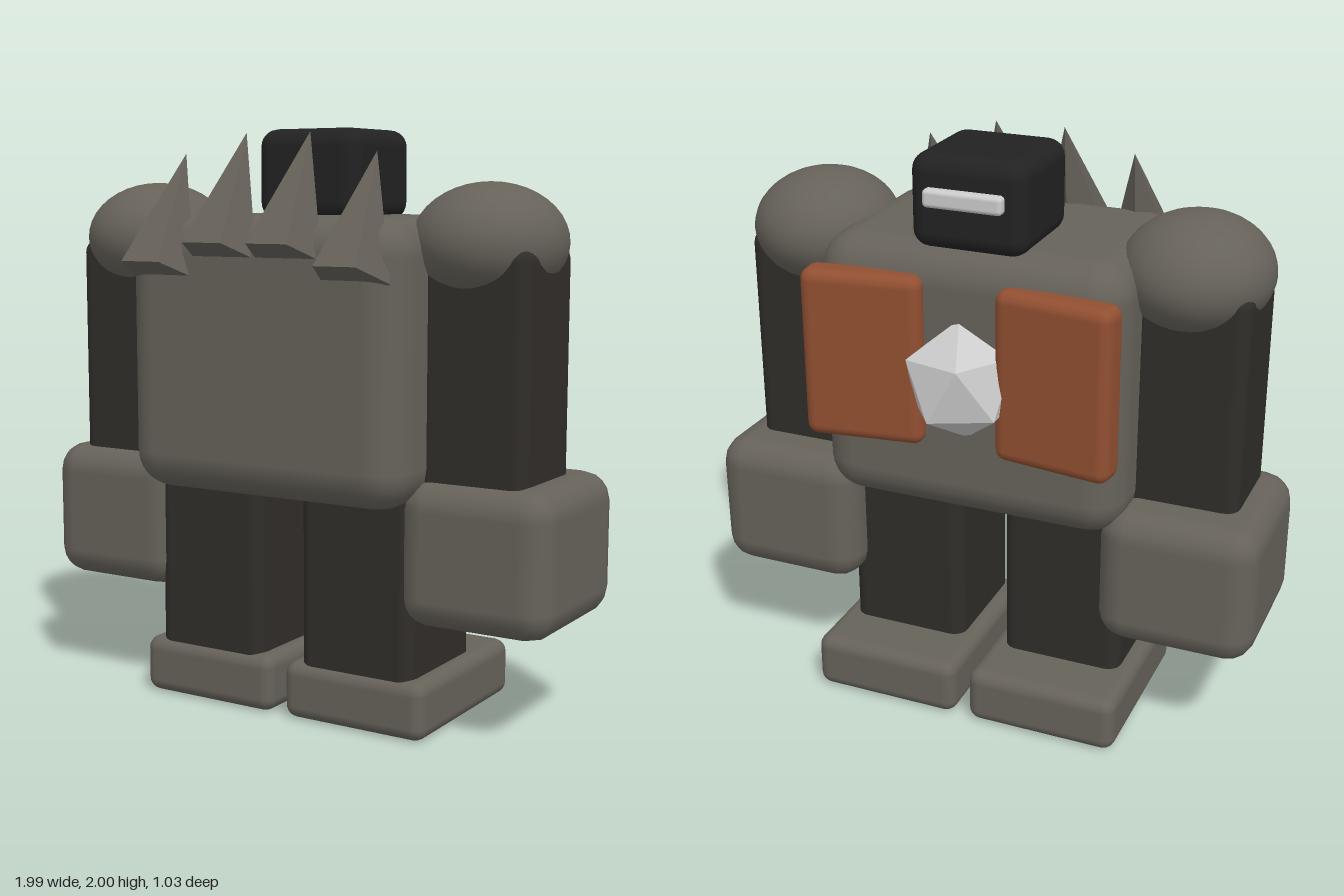
import * as THREE from 'three';
import { RoundedBoxGeometry } from 'three/addons/geometries/RoundedBoxGeometry.js';

const mat = (color, flatShading = false) => new THREE.MeshStandardMaterial({ color, flatShading });
const stone = mat(0x66625a);
const dark = mat(0x302d2a);
const black = mat(0x232222);
const rust = mat(0x914f31);
const light = mat(0xcccccc);
const stoneFlat = mat(0x66625a, true);
const lightFlat = mat(0xcccccc, true);

export function createModel() {
  const model = new THREE.Group();

  const add = (name, geometry, material, x, y, z) => {
    const mesh = new THREE.Mesh(geometry, material);
    mesh.name = name;
    mesh.position.set(x, y, z);
    model.add(mesh);
    return mesh;
  };

  // Rounded block given by its extents on each axis
  const block = (name, material, [x0, x1], [y0, y1], [z0, z1], radius, segments = 3) =>
    add(name, new RoundedBoxGeometry(x1 - x0, y1 - y0, z1 - z0, segments, radius), material,
      (x0 + x1) / 2, (y0 + y1) / 2, (z0 + z1) / 2);

  // Body and head
  block('torso', stone, [-0.54, 0.54], [0.77, 1.71], [-0.36, 0.40], 0.13);
  block('head', black, [-0.2, 0.2], [1.69, 2.0], [-0.32, 0.08], 0.06);
  block('visor', light, [-0.135, 0.135], [1.84, 1.9], [-0.352, -0.28], 0.015);

  // Limbs, mirrored
  for (const [side, s] of [['left', 1], ['right', -1]]) {
    const span = (a, b) => (s > 0 ? [a, b] : [-b, -a]);
    block(side + 'Arm', dark, span(0.5, 0.885), [0.75, 1.62], [-0.165, 0.2], 0.05);
    block(side + 'Hand', stone, span(0.45, 0.993), [0.38, 0.87], [-0.325, 0.265], 0.1, 2);
    block(side + 'Leg', dark, span(0.08, 0.51), [0.12, 0.9], [-0.205, 0.245], 0.05);
    block(side + 'Foot', stone, span(0.025, 0.565), [0, 0.2], [-0.41, 0.265], 0.045);

    const shoulder = add(side + 'Shoulder', new THREE.SphereGeometry(1, 32, 20), stone, s * 0.665, 1.625, 0.012);
    shoulder.scale.set(0.252, 0.195, 0.267);

    // Chest plate, its outer edge swung away from the body
    const plate = add(side + 'ChestPlate', new RoundedBoxGeometry(0.41, 0.585, 0.12, 3, 0.04), rust,
      s * 0.335, 1.328, -0.375);
    plate.rotation.y = s * 0.135;
  }

  // Faceted core between the chest plates
  const core = add('chestCore', new THREE.IcosahedronGeometry(0.205, 0), lightFlat, 0, 1.28, -0.345);
  core.rotation.z = 0.5;

  // Row of leaning spikes, the middle pair set higher
  const spikeGeometry = new THREE.ConeGeometry(0.13, 0.43, 5);
  for (let i = 0; i < 4; i++) {
    const raise = i === 1 || i === 2 ? 0.065 : 0;
    const spike = add('spike' + (i + 1), spikeGeometry, stoneFlat, -0.365 + i * 0.249, 1.717 + raise, 0.334);
    spike.rotation.set(-0.4, Math.PI, 0);
  }

  return model;
}
